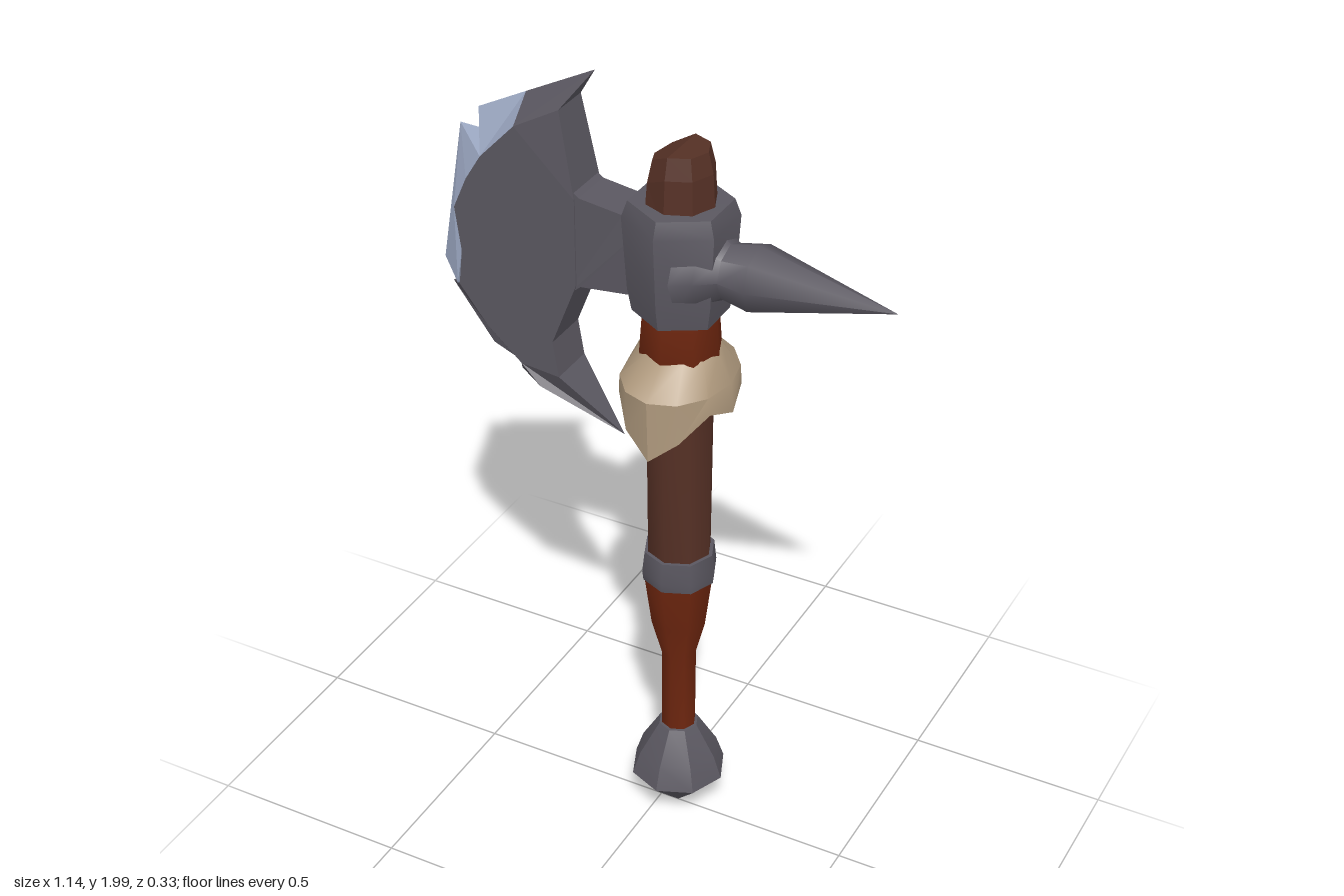
import * as THREE from 'three';
import { toCreasedNormals } from 'three/addons/utils/BufferGeometryUtils.js';

const CX = 0.048; // x of the handle axis

function mat(name, color, side = THREE.FrontSide) {
  const m = new THREE.MeshStandardMaterial({ color, side });
  m.name = name;
  return m;
}

// Turned part: profile of [radius, height], rising
function turned(profile, sides, crease = 0.9) {
  const pts = profile.map(([r, y]) => new THREE.Vector2(r, y));
  return toCreasedNormals(new THREE.LatheGeometry(pts, sides), crease);
}

// Plate from an outline of [x, y, half thickness]; thickness 0 makes a sharp edge
function slab(outline) {
  let o = outline;
  const flat = (list) => list.map(([x, y]) => new THREE.Vector2(x, y));
  if (THREE.ShapeUtils.isClockWise(flat(o))) o = [...o].reverse();
  const pos = [];
  const put = (i, s) => pos.push(o[i][0], o[i][1], s * o[i][2] - 0.004);
  for (const [a, p, q] of THREE.ShapeUtils.triangulateShape(flat(o), [])) {
    const area = (o[p][0] - o[a][0]) * (o[q][1] - o[a][1]) - (o[p][1] - o[a][1]) * (o[q][0] - o[a][0]);
    const [b, c] = area > 0 ? [p, q] : [q, p];
    put(a, 1); put(b, 1); put(c, 1);
    put(a, -1); put(c, -1); put(b, -1);
  }
  o.forEach((_, a) => {
    const b = (a + 1) % o.length;
    put(a, -1); put(b, -1); put(b, 1);
    put(a, -1); put(b, 1); put(a, 1);
  });
  const g = new THREE.BufferGeometry();
  g.setAttribute('position', new THREE.Float32BufferAttribute(pos, 3));
  g.computeVertexNormals();
  return g;
}

// Ragged fur collar: three rings, the lowest with hanging points
function furGeometry() {
  const n = 12;
  const hem = [1.145, 1.2, 1.26, 1.23, 1.26, 1.2]; // repeats front and back
  const pos = [], idx = [];
  for (let ring = 0; ring < 4; ring++) {
    for (let i = 0; i < n; i++) {
      const a = (i / n) * Math.PI * 2;
      const rx = [0.085, 0.095, 0.13, 0.135][ring];
      const rz = [0.08, 0.09, 0.165, 0.158][ring];
      const y = [1.36, 1.375, 1.305, hem[i % 6]][ring];
      pos.push(Math.sin(a) * rx, y, Math.cos(a) * rz);
      if (ring < 3) {
        const j = (i + 1) % n, p = ring * n + i, q = ring * n + j;
        idx.push(p, p + n, q, q, p + n, q + n);
      }
    }
  }
  const g = new THREE.BufferGeometry();
  g.setAttribute('position', new THREE.Float32BufferAttribute(pos, 3));
  g.setIndex(idx);
  return toCreasedNormals(g, 0.6);
}

export function createModel() {
  const steel = mat('dark steel', 0x5a5760);
  const edge = mat('bright edge', 0x9ca8c2);
  const leather = mat('red leather', 0x6e260f);
  const wood = mat('brown wood', 0x553025);
  const fur = mat('fur', 0xb09a7e, THREE.DoubleSide);

  const model = new THREE.Group();
  model.name = 'battleAxe';
  const add = (name, geometry, material, x = 0) => {
    const m = new THREE.Mesh(geometry, material);
    m.name = name;
    m.position.x = x;
    model.add(m);
    return m;
  };

  // Handle, from the bottom up
  add('pommel', turned([[0, 0.01], [0.12, 0.13], [0.1, 0.19], [0.05, 0.275], [0, 0.28]], 8, 0.5), steel, CX);
  add('grip', turned([[0.043, 0.26], [0.044, 0.5], [0.07, 0.6], [0.088, 0.74]], 8), leather, CX);
  add('ring', turned([[0.07, 0.73], [0.09, 0.73], [0.093, 0.755], [0.087, 0.81], [0.07, 0.81]], 8), steel, CX);
  add('shaft', turned([[0.078, 0.8], [0.082, 1.36]], 8), wood, CX);
  add('upperWrap', turned([[0.082, 1.32], [0.098, 1.37], [0.09, 1.48]], 8), leather, CX);
  add('furCollar', furGeometry(), fur, CX);

  // Handle end above the head, cut at a slant
  const tip = turned([[0.085, 1.7], [0.078, 1.82], [0.066, 1.87], [0, 1.87]], 8, 0.6);
  const p = tip.attributes.position;
  for (let i = 0; i < p.count; i++) {
    if (p.getY(i) > 1.8) p.setY(i, p.getY(i) + Math.min(0, p.getX(i)) * 0.5);
  }
  tip.computeVertexNormals();
  add('handleEnd', tip, wood, CX);

  // Head socket and rear spike
  add('socket', turned([[0, 1.465], [0.11, 1.465], [0.12, 1.52], [0.132, 1.7], [0.118, 1.74], [0, 1.745]], 6, 0.5), steel, CX);
  const spike = add('spike',
    turned([[0.125, 0.08], [0.1, 0.125], [0.066, 0.17], [0.08, 0.24], [0, 0.57]], 8, 1.0), steel);
  spike.rotation.z = -Math.PI / 2;
  spike.position.y = 1.595;

  // Neck between socket and blade
  add('neck', slab([
    [-0.22, 1.74, 0.056], [-0.18, 1.71, 0.056], [-0.07, 1.695, 0.055], [-0.02, 1.73, 0.06], [0.03, 1.73, 0.06],
    [0.03, 1.48, 0.06], [-0.04, 1.5, 0.055], [-0.18, 1.485, 0.056], [-0.22, 1.45, 0.056],
  ]), steel);

  // Blade body, full thickness with pointed horns
  const T = 0.06;
  add('bladeBody', slab([
    [-0.165, 2.0, 0], [-0.34, 1.85, T], [-0.43, 1.755, T], [-0.47, 1.69, T], [-0.505, 1.61, T],
    [-0.49, 1.5, T], [-0.5, 1.41, T], [-0.43, 1.32, T], [-0.34, 1.24, T], [-0.29, 1.19, T],
    [-0.1, 1.08, 0], [-0.24, 1.23, T], [-0.255, 1.32, T], [-0.19, 1.485, T], [-0.19, 1.705, T],
    [-0.23, 1.91, 0.05],
  ]), steel);

  // Notched cutting edge, in bevelled pieces
  add('upperHornEdge', slab([[-0.165, 2.0, 0], [-0.34, 1.91, 0], [-0.34, 1.85, T]]), steel);
  add('upperEdge', slab([[-0.34, 1.91, 0], [-0.465, 1.845, 0], [-0.43, 1.755, T], [-0.34, 1.85, T]]), edge);
  add('middleEdge', slab([
    [-0.515, 1.795, 0], [-0.575, 1.435, 0], [-0.505, 1.41, T], [-0.49, 1.5, T],
    [-0.505, 1.61, T], [-0.47, 1.69, T], [-0.43, 1.755, T],
  ]), edge);
  add('lowerEdge', slab([
    [-0.5, 1.41, T], [-0.555, 1.375, 0], [-0.45, 1.235, 0], [-0.39, 1.22, 0.01], [-0.34, 1.25, T], [-0.43, 1.32, T],
  ]), steel);
  add('lowerHornEdge', slab([[-0.34, 1.24, T], [-0.375, 1.185, 0], [-0.1, 1.08, 0], [-0.29, 1.19, T]]), steel);

  return model;
}
